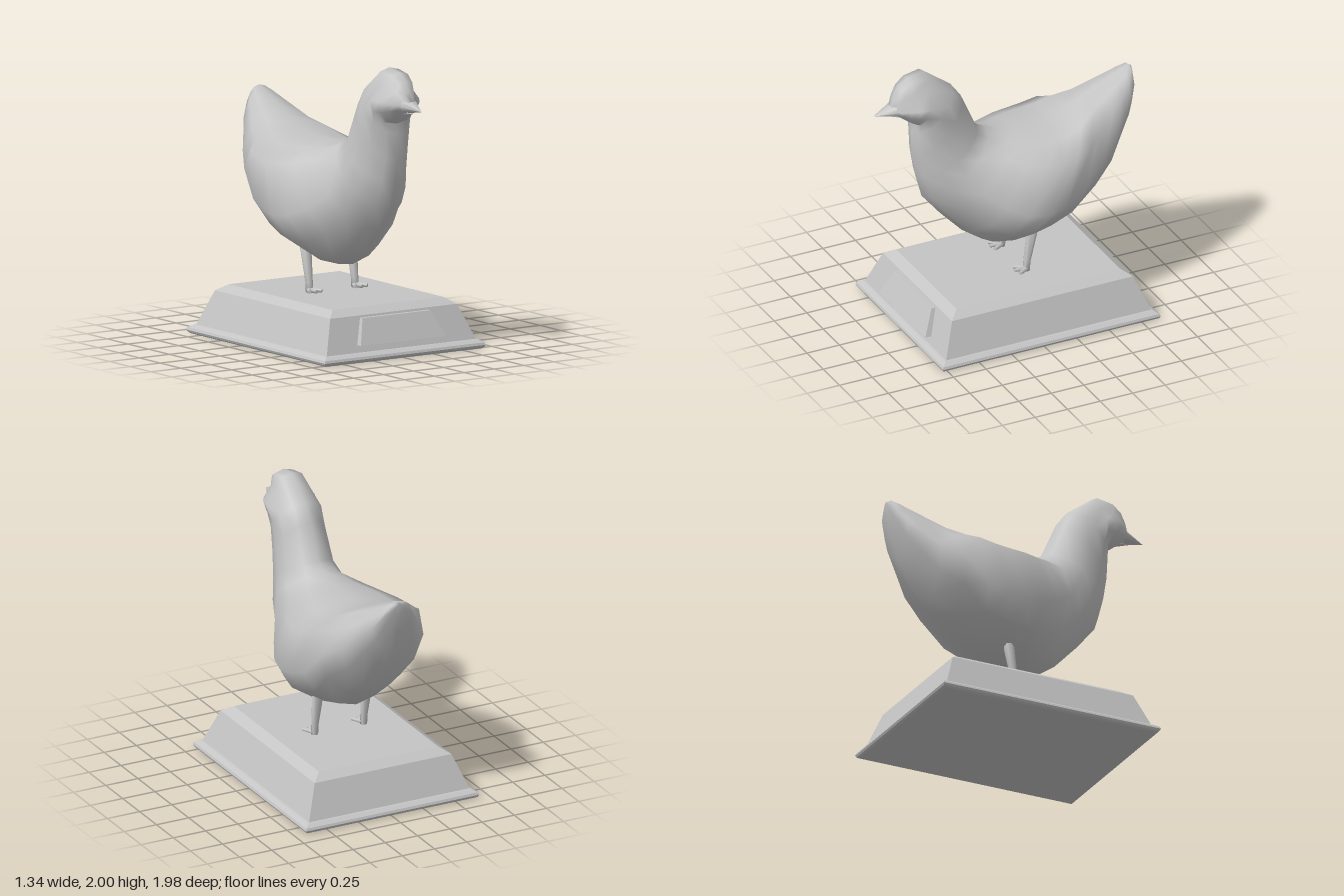
import * as THREE from 'three';

const stone = new THREE.MeshStandardMaterial({ color: 0xc4c4c4 });
stone.name = 'stone grey';

// Skin closed rings of points into a capped solid
function loft(rings, flat) {
  const n = rings[0].length, index = [];
  const last = (rings.length - 1) * n;
  for (let i = 0; i < rings.length - 1; i++) {
    for (let j = 0; j < n; j++) {
      const a = i * n + j, b = i * n + (j + 1) % n;
      index.push(a, b, a + n, b, b + n, a + n);
    }
  }
  for (let j = 1; j < n - 1; j++) {
    index.push(0, j + 1, j, last, last + j, last + j + 1);
  }
  let g = new THREE.BufferGeometry();
  g.setAttribute('position', new THREE.Float32BufferAttribute(rings.flat(2), 3));
  g.setIndex(index);
  if (flat) g = g.toNonIndexed();
  g.computeVertexNormals();
  return g;
}

function add(parent, name, geometry) {
  const mesh = new THREE.Mesh(geometry, stone);
  mesh.name = name;
  parent.add(mesh);
  return mesh;
}

// Half outlines from top to bottom: [share of half width, share of height]
const outlines = {
  head: [[0, 0], [0.4, 0.05], [0.5, 0.27], [1, 0.54], [0.88, 0.74], [0.5, 0.95], [0, 1]],
  neck: [[0, 0], [0.5, 0.07], [0.9, 0.28], [1, 0.5], [0.87, 0.74], [0.45, 0.94], [0, 1]],
  back: [[0, 0], [0.55, 0.05], [0.95, 0.16], [1, 0.57], [0.74, 0.79], [0.32, 0.95], [0, 1]],
  tail: [[0, 0], [0.42, 0.05], [0.72, 0.2], [1, 0.45], [0.85, 0.7], [0.4, 0.92], [0, 1]],
};

// Slanted sections, beak to tail: outline, top z y, bottom z y, half width
const sections = [
  ['head', 0.865, 1.8, 0.85, 1.73, 0.05],
  ['head', 0.84, 1.86, 0.79, 1.69, 0.1],
  ['head', 0.8, 1.93, 0.74, 1.65, 0.135],
  ['head', 0.73, 1.98, 0.69, 1.62, 0.17],
  ['head', 0.6, 2.0, 0.665, 1.615, 0.19],
  ['neck', 0.4, 1.85, 0.7, 1.55, 0.18],
  ['neck', 0.32, 1.74, 0.695, 1.36, 0.18],
  ['neck', 0.21, 1.49, 0.67, 1.2, 0.2],
  ['neck', 0.13, 1.44, 0.62, 1.02, 0.24],
  ['back', 0.03, 1.4, 0.48, 0.85, 0.3],
  ['back', -0.08, 1.4, 0.31, 0.67, 0.385],
  ['back', -0.19, 1.4, 0.16, 0.565, 0.45],
  ['back', -0.3, 1.4, 0, 0.54, 0.475],
  ['back', -0.4, 1.41, -0.15, 0.575, 0.47],
  ['back', -0.5, 1.445, -0.34, 0.63, 0.44],
  ['tail', -0.62, 1.5, -0.52, 0.76, 0.4],
  ['tail', -0.75, 1.56, -0.69, 0.89, 0.31],
  ['tail', -0.85, 1.605, -0.82, 1.11, 0.225],
  ['tail', -0.92, 1.635, -0.89, 1.23, 0.175],
  ['tail', -0.97, 1.655, -0.95, 1.42, 0.11],
  ['tail', -0.985, 1.645, -0.975, 1.55, 0.04],
];

function bodyRing([kind, zt, yt, zb, yb, w]) {
  const left = outlines[kind].map(([x, t]) => [x * w, yt + (yb - yt) * t, zt + (zb - zt) * t]);
  const right = left.slice(1, -1).reverse().map(([x, y, z]) => [-x, y, z]);
  return [...left, ...right];
}

function buildBird() {
  const bird = new THREE.Group();
  bird.name = 'hen';
  add(bird, 'body', loft(sections.map(bodyRing)));

  // Beak halves
  const upper = add(bird, 'upperBeak', new THREE.ConeGeometry(0.09, 0.19, 8).scale(1, 1, 0.62).rotateX(Math.PI / 2 + 0.13));
  upper.position.set(0, 1.752, 0.897);
  const lower = add(bird, 'lowerBeak', new THREE.ConeGeometry(0.06, 0.16, 6).scale(1, 1, 0.6).rotateX(Math.PI / 2 - 0.1));
  lower.position.set(0, 1.705, 0.8);

  // Legs and feet, mirrored
  for (const side of [1, -1]) {
    const leg = new THREE.Group();
    leg.name = side > 0 ? 'leftLeg' : 'rightLeg';
    leg.position.set(side * 0.19, 0, 0);
    bird.add(leg);
    const legRing = (y, z, r) => Array.from({ length: 8 }, (_, i) => {
      const a = i * Math.PI / 4;
      return [Math.cos(a) * r, y, z - Math.sin(a) * r];
    });
    add(leg, 'shank', loft([legRing(0.345, -0.09, 0.026), legRing(0.42, -0.095, 0.026), legRing(0.69, -0.142, 0.042)]));
    for (const turn of [-0.55, 0, 0.55]) {
      const toe = add(leg, 'toe', new THREE.CylinderGeometry(0.013, 0.02, 0.1, 6).rotateX(Math.PI / 2).translate(0, 0, 0.05));
      toe.position.set(0, 0.367, -0.1);
      toe.rotation.y = turn;
    }
  }
  return bird;
}

function buildPlinth() {
  const plinth = new THREE.Group();
  plinth.name = 'plinth';

  // Stepped base: [height, half width], with a fixed extra length
  const extra = 0.165, zMid = -0.045;
  const ring = ([y, w]) => [[-1, 1], [1, 1], [1, -1], [-1, -1]]
    .map(([sx, sz]) => [sx * w, y, zMid + sz * (w + extra)]);
  const steps = [[0, 0.65], [0.01, 0.665], [0.025, 0.672], [0.042, 0.665], [0.062, 0.635],
    [0.065, 0.622], [0.305, 0.53], [0.35, 0.462]];
  add(plinth, 'base', loft(steps.map(ring), true));

  // Blank plaque leaning with the front slope
  const shape = new THREE.Shape([[-0.355, 0.115], [0.355, 0.115], [0.285, 0.29], [-0.285, 0.29]]
    .map(([x, y]) => new THREE.Vector2(x, y)));
  const g = new THREE.ExtrudeGeometry(shape, { depth: 0.08, bevelEnabled: false });
  const p = g.attributes.position;
  for (let i = 0; i < p.count; i++) {
    p.setZ(i, p.getZ(i) + 0.688 - (p.getY(i) - 0.115) * 0.47);
  }
  g.computeVertexNormals();
  add(plinth, 'plaque', g);
  return plinth;
}

export function createModel() {
  const model = new THREE.Group();
  model.name = 'henStatue';
  model.add(buildPlinth(), buildBird());
  return model;
}
